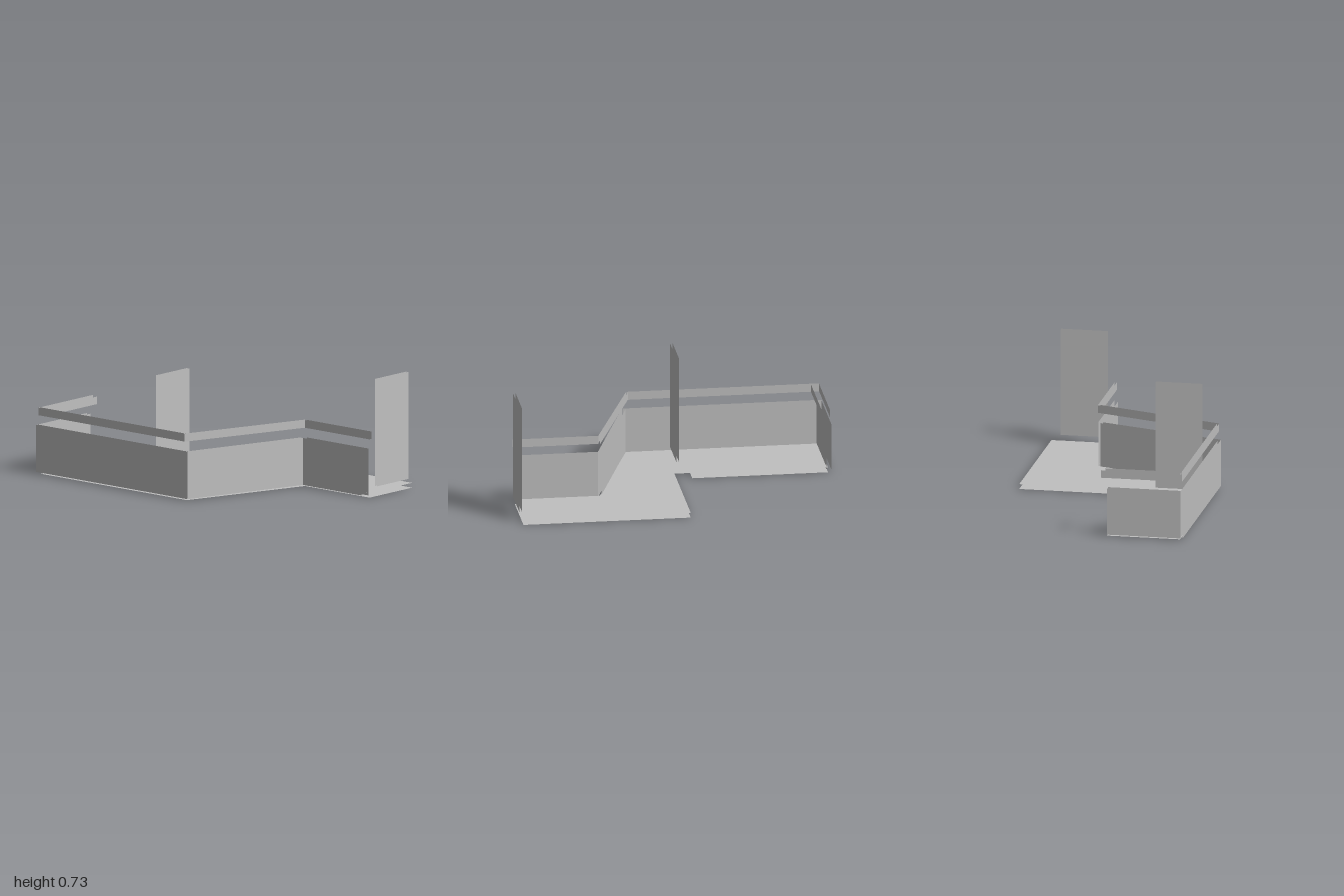
import * as THREE from 'three';

export function createModel() {
  const model = new THREE.Group();
  const grey = new THREE.MeshStandardMaterial({ color: 0xc0c0c0, side: THREE.DoubleSide });
  grey.name = 'concrete grey';

  // Upright sheet from (x0, z0) to (x1, z1) between two heights
  function sheet(parent, [x0, z0, x1, z1], y0, y1) {
    const dx = x1 - x0, dz = z1 - z0;
    const mesh = new THREE.Mesh(new THREE.PlaneGeometry(Math.hypot(dx, dz), y1 - y0), grey);
    mesh.position.set((x0 + x1) / 2, (y0 + y1) / 2, (z0 + z1) / 2);
    mesh.rotation.y = -Math.atan2(dz, dx);
    mesh.name = parent.name + 'Sheet';
    parent.add(mesh);
  }

  // A part made of parallel open sheets
  function part(name, y0, y1, lines) {
    const group = new THREE.Group();
    group.name = name;
    lines.forEach((line) => sheet(group, line, y0, y1));
    model.add(group);
  }

  // Floor slab: upper and lower faces
  const outline = [
    [-0.973, 0.567], [0.2, 0.567], [0.465, -0.217], [0.984, -0.217], [0.984, -0.607],
    [-0.037, -0.607], [-0.037, 0.214], [-0.144, 0.214], [-0.144, 0.115], [-0.973, 0.115],
  ];
  const shape = new THREE.Shape(outline.map(([x, z]) => new THREE.Vector2(x, z)));
  [['floorBottom', 0], ['floorTop', 0.03]].forEach(([name, y]) => {
    const mesh = new THREE.Mesh(new THREE.ShapeGeometry(shape).rotateX(Math.PI / 2), grey);
    mesh.position.y = y;
    mesh.name = name;
    model.add(mesh);
  });

  // Parapet walls, outer and inner faces
  const wall = (name, lines) => part(name, 0.012, 0.302, lines);
  wall('frontWall', [[-0.997, 0.586, 0.217, 0.586], [-0.997, 0.57, 0.211, 0.57]]);
  wall('slantedWall', [[0.222, 0.584, 0.473, -0.19], [0.2, 0.575, 0.452, -0.2]]);
  wall('sideWall', [[0.473, -0.19, 0.943, -0.19], [0.48, -0.218, 0.974, -0.218]]);
  wall('endWall', [[-0.995, 0.12, -0.995, 0.572], [-0.965, 0.12, -0.965, 0.572]]);

  // Handrail strips above the walls
  const rail = (name, lines) => part(name, 0.363, 0.41, lines);
  rail('frontRail', [[-0.98, 0.58, 0.195, 0.58], [-0.98, 0.567, 0.195, 0.567]]);
  rail('slantedRail', [[0.197, 0.58, 0.473, -0.206], [0.185, 0.576, 0.463, -0.22]]);
  rail('sideRail', [[0.473, -0.206, 0.997, -0.206], [0.473, -0.22, 0.997, -0.22]]);
  rail('endRail', [[-0.98, 0.08, -0.98, 0.58], [-0.93, 0.1, -0.93, 0.57]]);

  // Tall partition panels
  const panel = (name, x, z0, z1) =>
    part(name, 0.065, 0.727, [[x, z0, x, z1], [x + 0.016, z0, x + 0.016, z1]]);
  panel('middlePartition', -0.08, 0.24, 0.528);
  panel('sidePartition', 0.986, -0.551, -0.262);

  return model;
}
